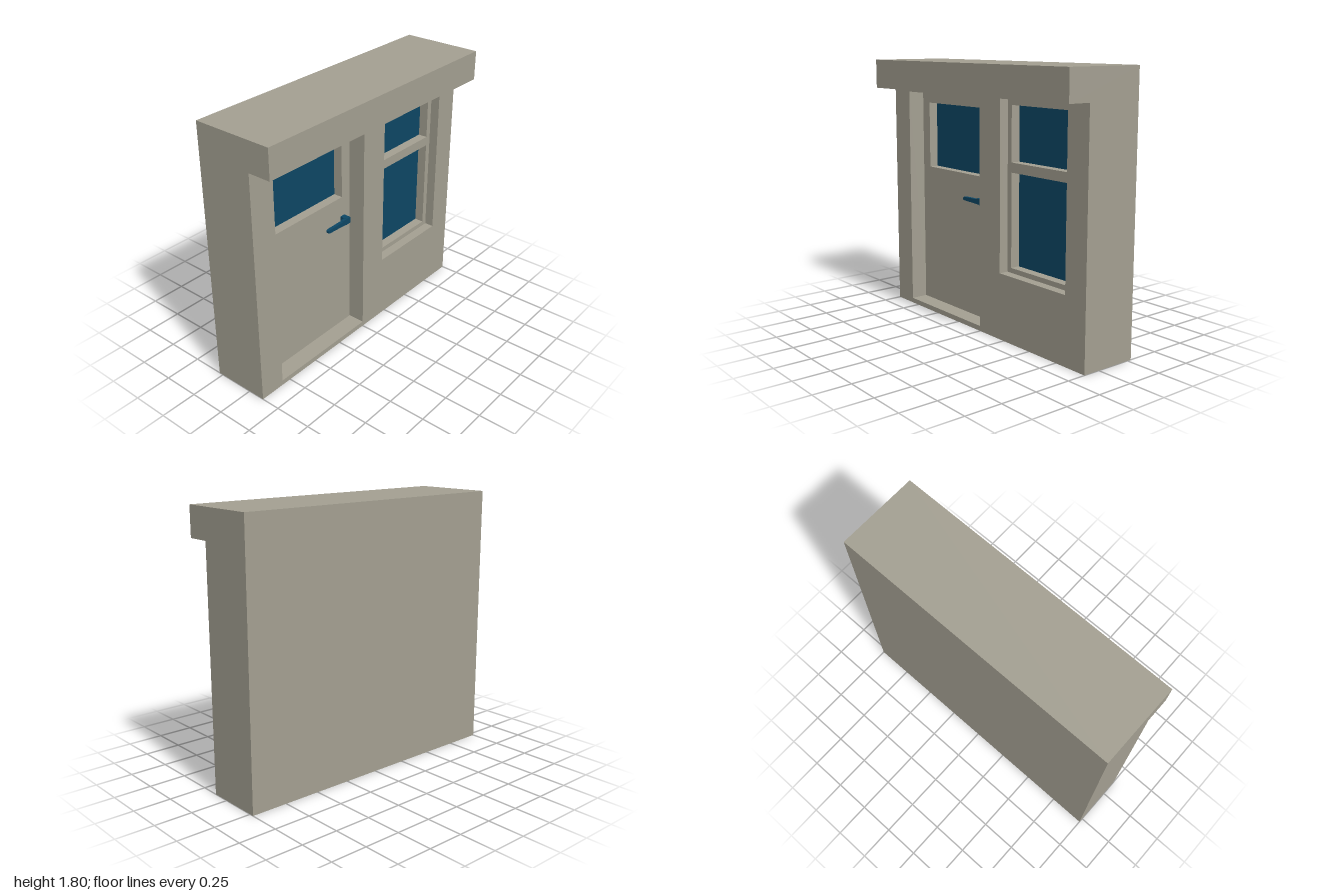
import * as THREE from 'three';

const stone = new THREE.MeshStandardMaterial({ name: 'warm grey stone', color: 0xa39f91 });
const blue = new THREE.MeshStandardMaterial({ name: 'deep blue glass', color: 0x0d4664 });

const WALL_Z = 0.12, DOOR_Z = 0, DOOR_GLASS_Z = -0.065, FRAME_Z = 0.055, WINDOW_GLASS_Z = -0.01;

// Openings as counter-clockwise corner loops
const rect = (x0, y0, x1, y1) => [[x0, y0], [x1, y0], [x1, y1], [x0, y1]];
const door = rect(-0.82, 0.035, 0, 1.575);
const doorGlass = rect(-0.74, 1.03, -0.08, 1.495);
const windowOpening = rect(0.21, 0.45, 0.825, 1.58);
const windowGlass = [rect(0.248, 0.483, 0.785, 1.11), rect(0.248, 1.175, 0.785, 1.54)];

const toVectors = (pts) => pts.map(([x, y]) => new THREE.Vector2(x, y));

// Flat face with holes, looking along +z
function face(outline, holes = [], z = 0) {
  const shape = new THREE.Shape(toVectors(outline));
  for (const h of holes) shape.holes.push(new THREE.Path(toVectors(h)));
  return new THREE.ShapeGeometry(shape).translate(0, 0, z);
}

// Flat-sided band swept along z through a chain of points
function band(pts, z0, z1) {
  const pos = [];
  for (let i = 0; i < pts.length - 1; i++) {
    const [a, b] = [pts[i], pts[i + 1]];
    pos.push(...a, z0, ...b, z0, ...b, z1, ...a, z0, ...b, z1, ...a, z1);
  }
  const g = new THREE.BufferGeometry();
  g.setAttribute('position', new THREE.Float32BufferAttribute(pos, 3));
  g.computeVertexNormals();
  return g;
}

// Inward-facing sides of an opening
const reveal = (loop, front, back) => band([...loop, loop[0]], front, back);

export function createModel() {
  const model = new THREE.Group();
  model.name = 'shopFront';
  const add = (name, geometry, material = stone) => {
    const mesh = new THREE.Mesh(geometry, material);
    mesh.name = name;
    model.add(mesh);
    return mesh;
  };

  // Wall and overhanging cornice share one side profile (z, y)
  const profile = [[WALL_Z, 1.6], [0.28, 1.6], [0.28, 1.8], [-0.28, 1.8], [-0.28, 0], [WALL_Z, 0]];
  add('wallShell', band(profile, -1, 1).rotateY(-Math.PI / 2));
  for (const side of [-1, 1]) {
    const end = face(profile.map(([z, y]) => [-side * z, y]), [], 1);
    add(side > 0 ? 'leftEnd' : 'rightEnd', end.rotateY(side * Math.PI / 2));
  }
  add('wallFront', face(rect(-1, 0, 1, 1.6), [door, windowOpening], WALL_Z));

  // Recessed door with a deeper pane
  add('doorReveal', reveal(door, WALL_Z, DOOR_Z));
  add('doorPanel', face(door, [doorGlass], DOOR_Z));
  add('doorGlassReveal', reveal(doorGlass, DOOR_Z, DOOR_GLASS_Z));
  add('doorGlass', face(doorGlass, [], DOOR_GLASS_Z), blue);

  // Window frame with two panes
  add('windowReveal', reveal(windowOpening, WALL_Z, FRAME_Z));
  add('windowFrame', face(windowOpening, windowGlass, FRAME_Z));
  windowGlass.forEach((pane, i) => {
    const level = i ? 'upper' : 'lower';
    add(level + 'PaneReveal', reveal(pane, FRAME_Z, WINDOW_GLASS_Z));
    add(level + 'Pane', face(pane, [], WINDOW_GLASS_Z), blue);
  });

  // Door handle: base block and tapered lever
  const base = new THREE.BoxGeometry(0.04, 0.046, 0.05);
  add('handleBase', base, blue).position.set(-0.076, 0.867, DOOR_Z + 0.025);
  const lever = new THREE.Shape(toVectors([
    [-0.265, 0.856], [-0.125, 0.85], [-0.056, 0.845], [-0.056, 0.889],
    [-0.125, 0.888], [-0.13, 0.882], [-0.262, 0.88], [-0.272, 0.874], [-0.272, 0.86],
  ]));
  const leverGeometry = new THREE.ExtrudeGeometry(lever, { depth: 0.022, bevelEnabled: false });
  add('handleLever', leverGeometry, blue).position.z = DOOR_Z + 0.03;

  return model;
}
